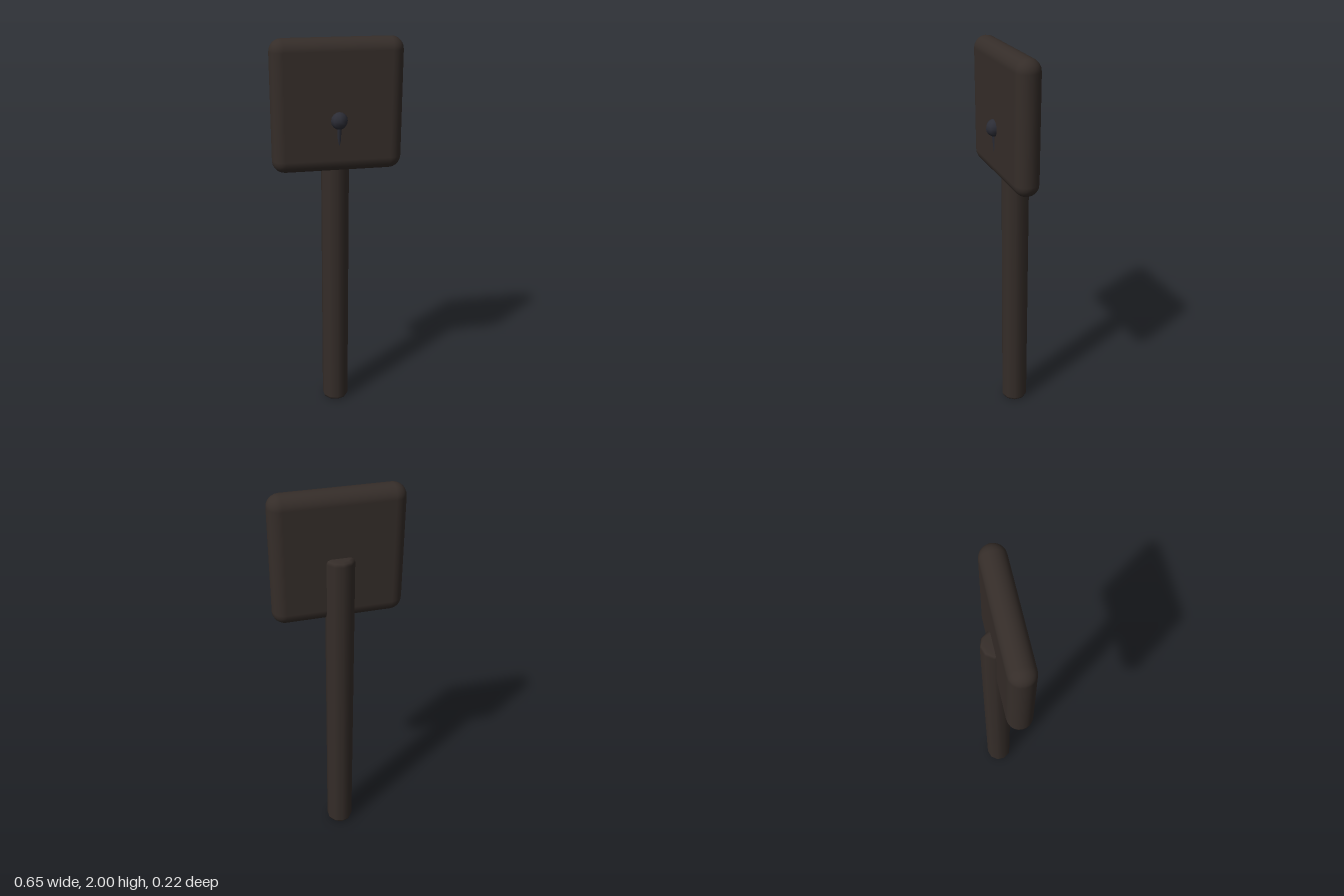
import * as THREE from 'three';
import { RoundedBoxGeometry } from 'three/addons/geometries/RoundedBoxGeometry.js';

export function createModel() {
  const model = new THREE.Group();
  const wood = new THREE.MeshStandardMaterial({ color: 0x352d29 });
  const metal = new THREE.MeshStandardMaterial({ color: 0x2c2d36 });

  const add = (name, geometry, material, x, y, z) => {
    const mesh = new THREE.Mesh(geometry, material);
    mesh.name = name;
    mesh.position.set(x, y, z);
    model.add(mesh);
    return mesh;
  };

  // Ten-sided post with softened ends, set behind the board
  const r = 0.071, top = 1.685, bevel = 0.02;
  const profile = [
    [0, 0], [r - bevel, 0], [r - 0.006, 0.006], [r, bevel],
    [r, top - bevel], [r - 0.006, top - 0.006], [r - bevel, top], [0, top],
  ].map(([x, y]) => new THREE.Vector2(x, y));
  add('post', new THREE.LatheGeometry(profile, 10), wood, 0, 0, -0.041);

  // Square board with fully rounded edges
  add('board', new RoundedBoxGeometry(0.648, 0.645, 0.125, 3, 0.0624), wood, 0, 1.6775, 0.0085);

  // Round nail head, half sunk into the board
  add('nailHead', new THREE.SphereGeometry(0.043, 8, 8), metal, 0, 1.615, 0.067);

  // Slim shank slanting down from the head into the board
  const from = new THREE.Vector3(0, 1.6, 0.072);
  const to = new THREE.Vector3(0, 1.48, 0.059);
  const axis = from.clone().sub(to);
  const mid = from.clone().add(to).multiplyScalar(0.5);
  const shank = add('nailShank', new THREE.CylinderGeometry(0.011, 0.011, axis.length(), 8), metal, mid.x, mid.y, mid.z);
  shank.quaternion.setFromUnitVectors(new THREE.Vector3(0, 1, 0), axis.normalize());

  return model;
}
